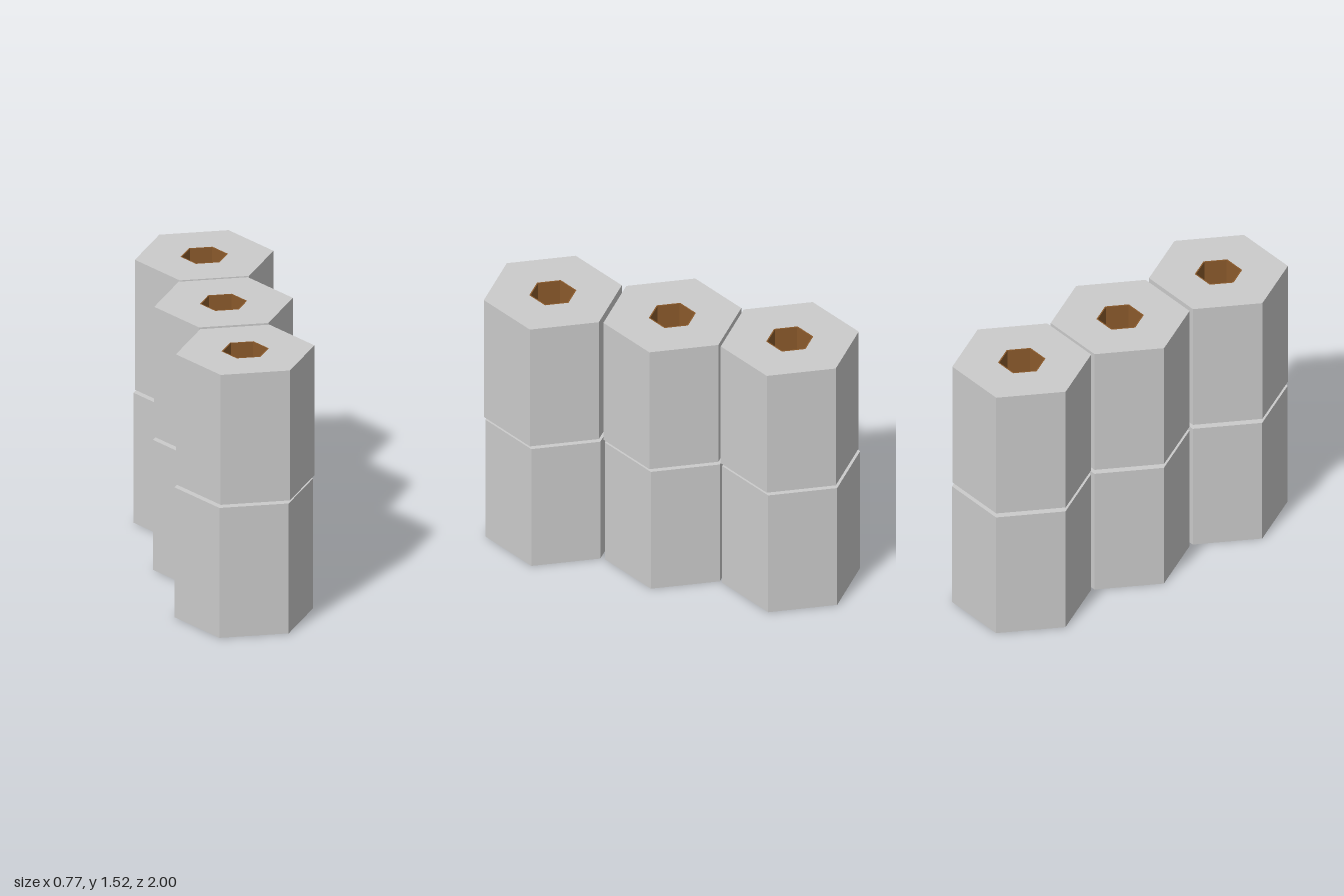
import * as THREE from 'three';

const HEIGHT = 0.75, GAP = 0.02;
const OUTER = 0.375, BORE = 0.128, INNER = 0.12;

// Closed hexagon with a corner on +x
function hexagon(radius) {
  return Array.from({ length: 6 }, (_, i) => {
    const a = (i * Math.PI) / 3;
    return new THREE.Vector2(radius * Math.cos(a), radius * Math.sin(a));
  });
}

// Upright hexagonal tube standing on y = 0
function hexTube(outer, inner) {
  const shape = new THREE.Shape(hexagon(outer));
  shape.holes.push(new THREE.Path(hexagon(inner)));
  const geometry = new THREE.ExtrudeGeometry(shape, { depth: HEIGHT, bevelEnabled: false });
  return geometry.rotateX(-Math.PI / 2);
}

export function createModel() {
  const model = new THREE.Group();
  model.name = 'hexBlockStack';

  const grey = new THREE.MeshStandardMaterial({ color: 0xcccccc, flatShading: true });
  const brown = new THREE.MeshStandardMaterial({ color: 0x8b5a2b, flatShading: true });
  const blockGeometry = hexTube(OUTER, BORE);
  const liningGeometry = hexTube(BORE, INNER);

  // Column centres [x, z], front to back
  const columns = [[0.005, 0.672], [-0.005, -0.002], [-0.004, -0.668]];
  const rowNames = ['lower', 'upper'];

  columns.forEach(([x, z], c) => {
    rowNames.forEach((row, r) => {
      const unit = new THREE.Group();
      unit.name = `${row}Block${c + 1}`;

      const block = new THREE.Mesh(blockGeometry, grey);
      block.name = 'block';
      const lining = new THREE.Mesh(liningGeometry, brown);
      lining.name = 'channelLining';
      unit.add(block, lining);

      // The lower row sits slightly off the upper one; all are turned a touch
      const shift = r === 0 ? -0.006 : 0;
      unit.position.set(x + shift, r * (HEIGHT + GAP), z + shift);
      unit.rotation.y = 0.012;
      model.add(unit);
    });
  });

  return model;
}
